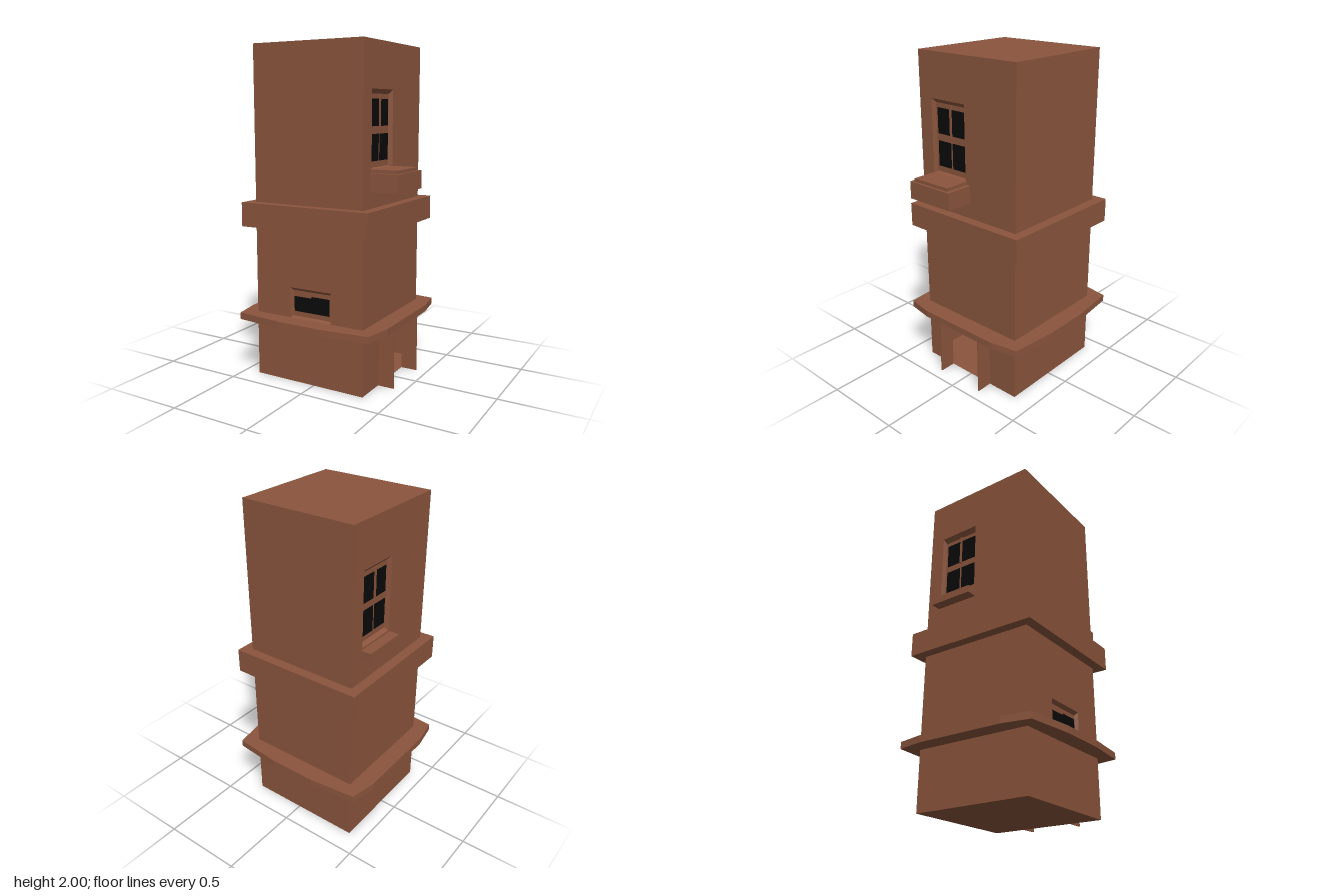
import * as THREE from 'three';

const HALF = 0.365; // half width of the square tower
const HEIGHT = 2;

const clay = new THREE.MeshStandardMaterial({ color: 0x8b553d, side: THREE.DoubleSide });
clay.name = 'clay brown';
const glass = new THREE.MeshStandardMaterial({ color: 0x0a0a0a });
glass.name = 'black glass';

function mesh(name, geometry, material, parent) {
  const m = new THREE.Mesh(geometry, material);
  m.name = name;
  parent.add(m);
  return m;
}

// Box given by its minimum and maximum corners
function block(name, [x0, y0, z0], [x1, y1, z1], material, parent) {
  const m = mesh(name, new THREE.BoxGeometry(x1 - x0, y1 - y0, z1 - z0), material, parent);
  m.position.set((x0 + x1) / 2, (y0 + y1) / 2, (z0 + z1) / 2);
  return m;
}

const corners = ([x0, y0, x1, y1]) =>
  [[x0, y0], [x1, y0], [x1, y1], [x0, y1]].map(([x, y]) => new THREE.Vector2(x, y));

// Recessed window: splayed reveal, backing sheet and dark panes
function addWindow(name, outer, inner, panes, depth, wall) {
  const g = new THREE.Group();
  g.name = name;
  g.position.z = HALF;
  const pos = [];
  const a = corners(outer), b = corners(inner);
  for (let i = 0; i < 4; i++) {
    const j = (i + 1) % 4;
    const p = [a[i].x, a[i].y, 0], q = [a[j].x, a[j].y, 0];
    const r = [b[j].x, b[j].y, -depth], s = [b[i].x, b[i].y, -depth];
    pos.push(...p, ...q, ...r, ...p, ...r, ...s);
  }
  const reveal = new THREE.BufferGeometry();
  reveal.setAttribute('position', new THREE.Float32BufferAttribute(pos, 3));
  reveal.computeVertexNormals();
  mesh('windowReveal', reveal, clay, g);
  mesh('windowFrame', new THREE.ShapeGeometry(new THREE.Shape(b)), clay, g).position.z = -depth;
  for (const [x0, y0, x1, y1] of panes)
    block('windowPane', [x0, y0, -depth - 0.004], [x1, y1, -depth + 0.004], glass, g);
  wall.add(g);
}

// One wall of the tower, turned to its side, with window holes and an optional doorway
function addWall(name, angle, holes, door, tower) {
  const wall = new THREE.Group();
  wall.name = name;
  wall.rotation.y = angle;
  const shape = new THREE.Shape();
  shape.moveTo(-HALF, 0);
  if (door) {
    shape.lineTo(door[0], 0);
    shape.lineTo(door[0], door[2]);
    shape.lineTo(door[1], door[2]);
    shape.lineTo(door[1], 0);
  }
  shape.lineTo(HALF, 0);
  shape.lineTo(HALF, HEIGHT);
  shape.lineTo(-HALF, HEIGHT);
  shape.closePath();
  for (const h of holes) shape.holes.push(new THREE.Path(corners(h).reverse()));
  mesh(name + 'Panel', new THREE.ShapeGeometry(shape), clay, wall).position.z = HALF;
  tower.add(wall);
  return wall;
}

// Horizontal ring around the tower from an outline in x and z
function addRing(name, outline, y0, y1, tower) {
  const shape = new THREE.Shape(outline.map(([x, z]) => new THREE.Vector2(x, -z)));
  shape.holes.push(new THREE.Path(corners([-HALF, -HALF, HALF, HALF])));
  const geo = new THREE.ExtrudeGeometry(shape, { depth: y1 - y0, bevelEnabled: false });
  geo.rotateX(-Math.PI / 2);
  mesh(name, geo, clay, tower).position.y = y0;
}

export function createModel() {
  const model = new THREE.Group();
  model.name = 'tower';
  const tower = new THREE.Group();
  tower.name = 'towerBody';
  tower.position.x = -0.035;
  model.add(tower);

  // Hollow shell: floor, roof and four walls
  for (const [name, y] of [['floor', 0], ['roof', HEIGHT]]) {
    const slab = mesh(name, new THREE.PlaneGeometry(2 * HALF, 2 * HALF), clay, tower);
    slab.rotation.x = -Math.PI / 2;
    slab.position.y = y;
  }
  const low = [-0.125, 0.395, 0.155, 0.58];
  const tall = [-0.27, 1.285, -0.01, 1.735];
  const door = [-0.165, 0.155, 0.355];
  const front = addWall('frontWall', 0, [low], null, tower);
  const leftWall = addWall('doorWall', Math.PI / 2, [tall], door, tower);
  addWall('backWall', Math.PI, [], null, tower);
  const rightWall = addWall('sideWall', -Math.PI / 2, [tall], null, tower);

  // Low front window
  addWindow('lowWindow', low, [-0.115, 0.405, 0.145, 0.562],
    [[-0.105, 0.435, 0.015, 0.525], [0.015, 0.435, 0.135, 0.535]], 0.02, front);

  // Tall four-pane windows on both sides
  const panes = [];
  for (const x of [-0.245, -0.13])
    for (const y of [1.335, 1.53]) panes.push([x, y, x + 0.1, y + 0.152]);
  for (const wall of [leftWall, rightWall]) {
    addWindow('tallWindow', tall, [-0.26, 1.3, -0.02, 1.71], panes, 0.025, wall);
    block('glazingBar', [-0.143, 1.52, HALF - 0.025], [-0.132, 1.71, HALF - 0.014], clay, wall);
  }

  // Deep window box with a raised top, and a small sill opposite
  block('windowBox', [-0.29, 1.17, HALF], [0.025, 1.275, HALF + 0.172], clay, leftWall);
  block('windowBoxTop', [-0.268, 1.275, HALF], [0, 1.295, HALF + 0.157], clay, leftWall);
  block('windowSill', [-0.28, 1.23, HALF], [0, 1.275, HALF + 0.063], clay, rightWall);

  // Thin cheeks of the porch
  for (const x of [-0.17, 0.155])
    block('porchCheek', [x, 0, HALF], [x + 0.008, 0.357, HALF + 0.1], clay, leftWall);

  // Square belt and twelve-sided lower ledge
  const B = 0.426;
  addRing('belt', [[-B, B], [B, B], [B, -B], [-B, -B]], 0.93, 1.075, tower);
  const ledge = [];
  for (const [sx, sz] of [[1, 1], [1, -1], [-1, -1], [-1, 1]]) {
    const corner = [[0.147, 0.473], [0.442, 0.442], [0.473, 0.272]].map(([x, z]) => [sx * x, sz * z]);
    ledge.push(...(sx * sz > 0 ? corner : corner.reverse()));
  }
  addRing('ledge', ledge, 0.355, 0.396, tower);

  return model;
}
